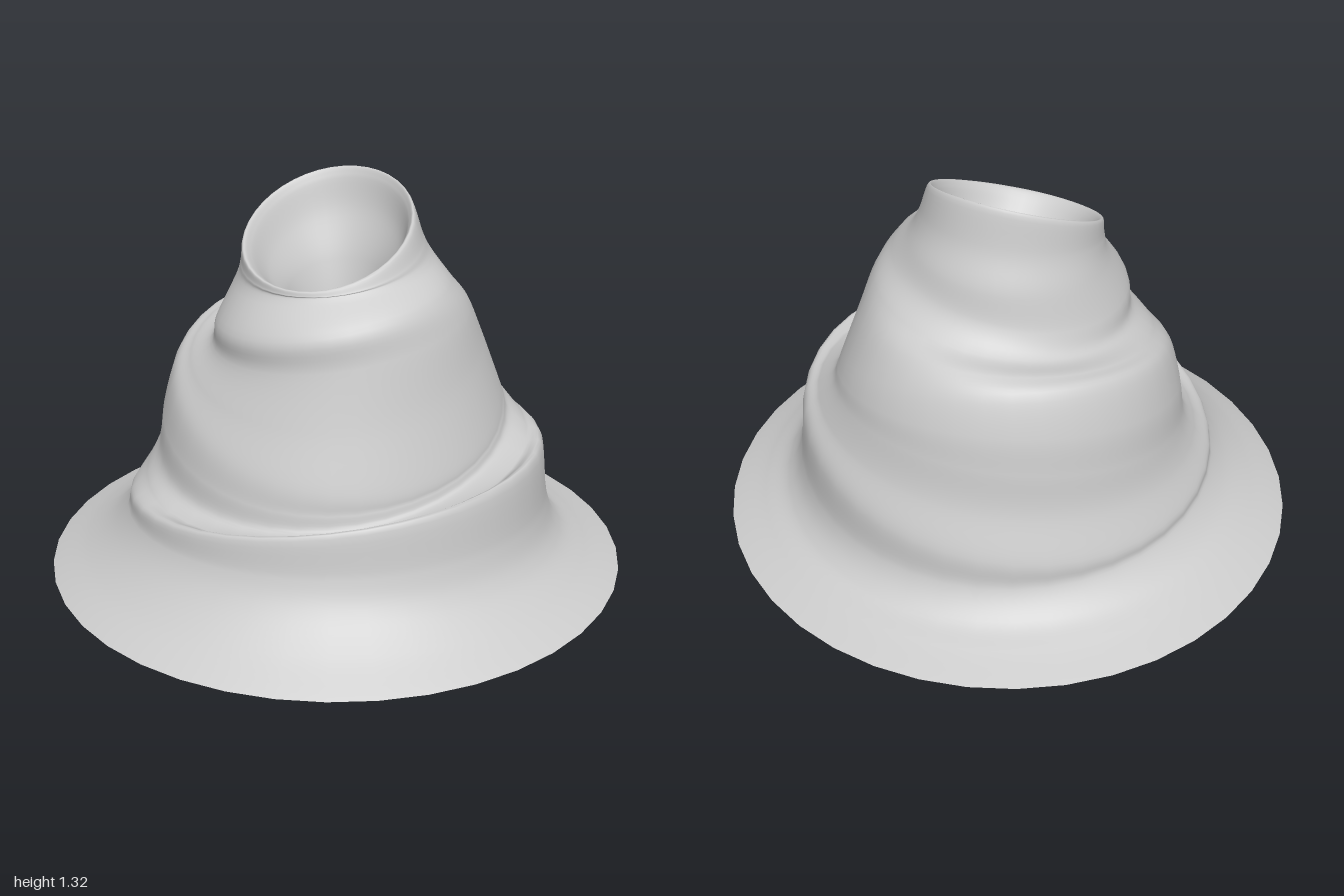
import * as THREE from 'three';
import { ParametricGeometry } from 'three/addons/geometries/ParametricGeometry.js';

// Tilted rings from brim to throat:
// radius, height, rise towards +x, rise towards +z, centre x, centre z
const RINGS = [
  [1.0, 0, 0, 0, 0, 0], // brim edge
  [0.88, 0.06, -0.015, 0.015, 0, 0],
  [0.79, 0.125, -0.03, 0.035, 0, 0],
  [0.735, 0.215, -0.02, 0.05, 0, 0.01],
  [0.715, 0.345, 0.035, 0.11, 0, 0], // first lip
  [0.66, 0.4, 0.085, 0.01, 0, 0],
  [0.61, 0.465, 0.115, -0.065, 0.01, -0.03], // first groove
  [0.59, 0.55, 0.1, -0.12, 0.01, -0.03],
  [0.56, 0.645, 0.075, -0.165, 0.01, -0.01], // second lip
  [0.5, 0.76, 0.08, -0.075, 0.01, -0.01],
  [0.435, 0.86, 0.065, 0.02, 0.01, 0.01], // second groove
  [0.395, 0.945, 0.055, 0.04, -0.02, 0.015], // third lip
  [0.33, 1.05, 0.04, 0.01, 0, -0.01],
  [0.305, 1.11, 0.065, -0.03, -0.015, 0],
  [0.285, 1.185, 0.11, -0.07, -0.03, 0], // mouth
  [0.262, 1.17, 0.11, -0.07, -0.025, 0],
  [0.225, 1.09, 0.08, -0.05, -0.01, 0],
  [0.16, 0.98, 0.04, -0.02, 0, 0],
  [0.118, 0.84, 0, 0, 0, 0], // throat
  [0.13, 0.72, 0, 0, 0, 0],
];

export function createModel() {
  const group = new THREE.Group();
  const curve = (i, j, k) => new THREE.CatmullRomCurve3(
    RINGS.map((r) => new THREE.Vector3(r[i], r[j], r[k])), false, 'catmullrom', 0.5);
  const size = curve(0, 1, 2);
  const lean = curve(3, 4, 5);
  const p = new THREE.Vector3();
  const q = new THREE.Vector3();

  // One continuous skin swept through the leaning rings
  const skin = new ParametricGeometry((u, v, target) => {
    size.getPoint(v, p);
    lean.getPoint(v, q);
    const x = Math.cos(u * Math.PI * 2);
    const z = -Math.sin(u * Math.PI * 2);
    target.set(q.y + p.x * x, Math.max(0, p.y + p.z * x + q.x * z), q.z + p.x * z);
  }, 40, 114);

  const mesh = new THREE.Mesh(skin, new THREE.MeshStandardMaterial({
    color: 0xcccccc, side: THREE.DoubleSide,
  }));
  mesh.name = 'spiralCone';
  group.add(mesh);
  return group;
}
